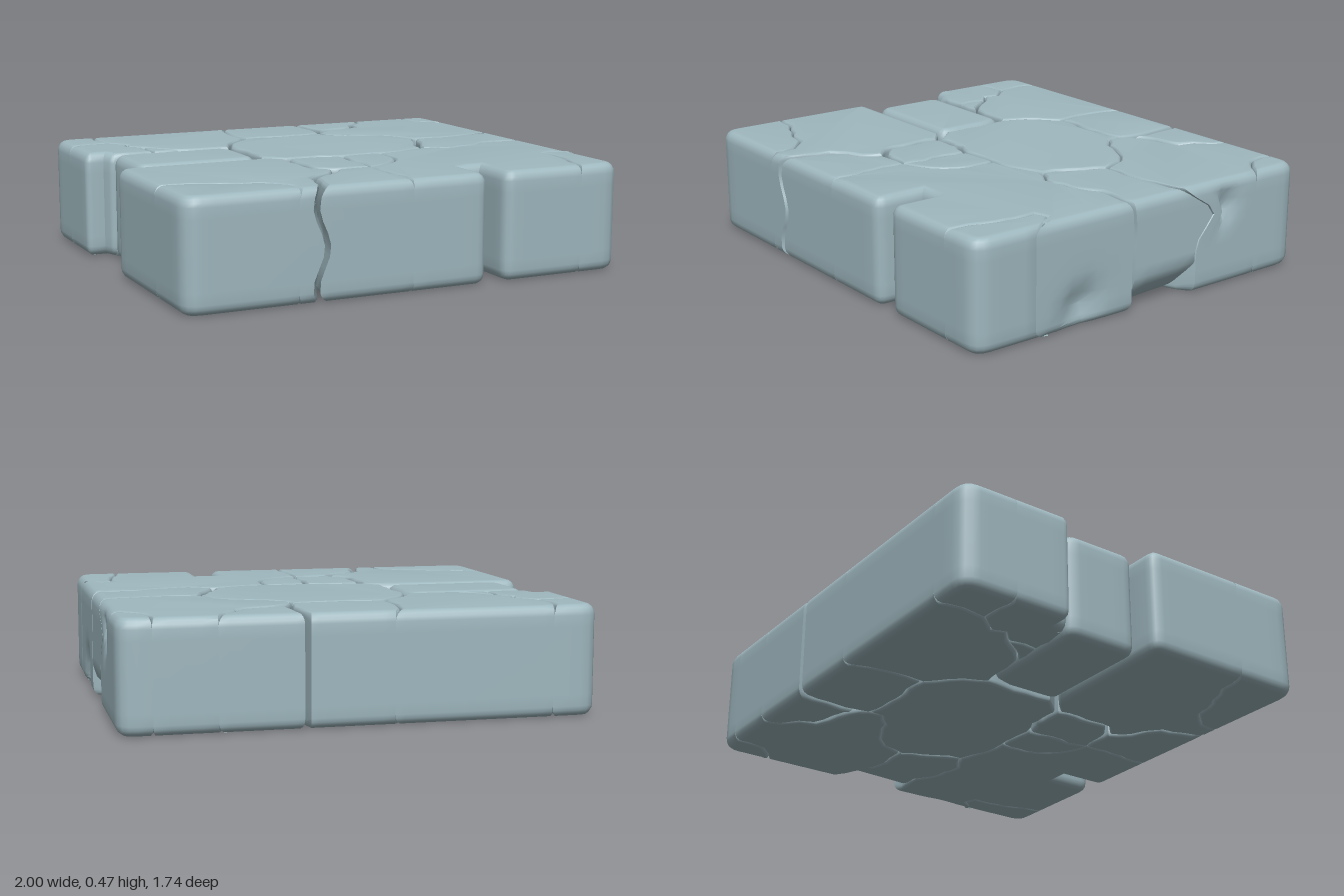
import * as THREE from 'three';
import { toCreasedNormals } from 'three/addons/utils/BufferGeometryUtils.js';

const BOTTOM = 0.01, TOP = 0.48;

// Crack point: w is half the width of the gap there
const C = (x, z, w = 0) => ({ x, z, w });
// Point on a cleanly cut edge: round is the corner radius in plan
const S = (x, z, round = 0, w = 0) => ({ x, z, w, round, cut: true });
const rev = (path) => [...path].reverse();

// Outer rim
const corner = {
  backLeft: S(-1, -0.87, 0.08), backRight: S(1, -0.87, 0.08),
  frontRight: S(1, 0.87, 0.08), frontLeft: S(-1, 0.87, 0.08),
};
const rimB = [S(-0.8, -0.87), S(-0.12, -0.87), S(0.24, -0.87, 0, 0.013), S(0.6, -0.87), S(0.86, -0.87)];
const rimR = [S(1, -0.62), S(1, -0.2, 0, 0.004), S(1, 0.08, 0, 0.007), S(1, 0.58)];
const rimF = [S(0.8, 0.87), S(-0.01, 0.87), S(-0.42, 0.87, 0, 0.012), S(-0.5, 0.87)];
const rimL = [S(-1, 0.55), S(-1, 0.075, 0.05), S(-1, -0.36, 0.03), S(-1, -0.62)];
const frontNotch = [S(0.425, 0.87, 0.05), S(0.425, 0.65), S(0.34, 0.65), S(0.34, 0.87, 0.05)];

// Outline of the middle stone, in stretches between its neighbours
const mid = {
  back: [C(-0.17, -0.51, 0.006), C(0.23, -0.53, 0.003)],
  backRight: [C(0.23, -0.46), C(0.4, -0.36), C(0.52, -0.27), C(0.56, -0.16, 0.006)],
  right: [C(0.52, -0.06, 0.01), C(0.46, 0.05, 0.01), C(0.45, 0.11, 0.005)],
  front: [C(0.31, 0.16), C(0.19, 0.17, 0.004)],
  frontLeft: [C(0, 0.18, 0.007), C(-0.09, 0.145, 0.01), C(-0.25, 0.15, 0.012)],
  left: [C(-0.33, 0.05, 0.003), C(-0.33, -0.2, 0.003)],
  backLeft: [C(-0.34, -0.28, 0.006), C(-0.32, -0.33, 0.004)],
};

// Cracks running out from the middle stone
const crackBack = [C(-0.18, -0.68)];
const gapBack = C(0.25, -0.57, 0.013);
const crackWedge = [C(0.57, -0.79), C(0.5, -0.73, 0.004), C(0.48, -0.66, 0.012)];
const crackRight = [C(0.7, -0.15), C(0.85, -0.17)];
const crackRightFront = [C(0.8, 0.08, 0.004), C(0.72, 0.13), C(0.55, 0.165)];
const crackSmall = [C(0.18, 0.35), C(0.1, 0.45)];
const crackMid = [C(0, 0.4), C(-0.02, 0.5)];
const crackHex = [C(-0.26, 0.25, 0.01), C(-0.25, 0.43, 0.008), C(-0.18, 0.49, 0.012)];
const crackFront = [C(-0.02, 0.7)];
const gapFront = [C(-0.24, 0.58, 0.01), C(-0.36, 0.66, 0.011), C(-0.38, 0.76, 0.012)];
const chipFL = [C(-0.51, 0.76), C(-0.6, 0.67), C(-0.75, 0.62), C(-0.86, 0.57)];
const chipBL = [C(-0.83, -0.76), C(-0.81, -0.64)];
const chipL = [C(-0.74, -0.56), C(-0.76, -0.5), C(-0.7, -0.45, 0.003)];
const chipFoot = [C(-0.57, -0.305, 0.004), C(-0.7, -0.305, 0.004)];
const chipBR = [C(0.87, -0.72)];
const chipFR = [C(0.85, 0.66), C(0.86, 0.48), C(0.92, 0.46)];

const stones = {
  middleStone: Object.values(mid).flat(),
  backLeftStone: [rimB[0], rimB[1], ...crackBack, mid.back[0], ...rev(mid.backLeft), C(-0.42, -0.3),
    chipFoot[0], ...rev(chipL), ...rev(chipBL)],
  backLeftCorner: [corner.backLeft, rimB[0], ...chipBL, rimL[3]],
  leftEdgeStone: [rimL[3], chipBL[1], ...chipL, chipFoot[1], S(-0.9, -0.305, 0.02), S(-0.92, -0.36), rimL[2]],
  leftChip: [chipL[2], ...chipFoot],
  leftRecessedStone: [S(-0.9, -0.29, 0.06), S(-0.37, -0.29, 0.04), S(-0.343, -0.2), S(-0.343, 0.01),
    S(-0.36, 0.06, 0.03), S(-0.9, 0.06, 0.06)],
  backStone: [rimB[1], rimB[2], gapBack, ...rev(mid.back), ...crackBack],
  backWedge: [rimB[2], rimB[3], ...crackWedge, gapBack],
  backRightStone: [rimB[3], rimB[4], ...chipBR, rimR[0], rimR[1], ...rev(crackRight), ...rev(mid.backRight),
    mid.back[1], gapBack, ...rev(crackWedge)],
  backRightCorner: [rimB[4], corner.backRight, rimR[0], ...chipBR],
  rightStone: [rimR[1], rimR[2], ...crackRightFront, ...rev(mid.right), mid.backRight[3], ...crackRight],
  frontRightStone: [rimR[2], rimR[3], ...rev(chipFR), rimF[0], ...frontNotch, rimF[1], ...crackFront,
    crackMid[1], ...rev(crackSmall), ...rev(mid.front), mid.right[2], ...rev(crackRightFront)],
  frontRightCorner: [rimR[3], corner.frontRight, rimF[0], ...chipFR],
  smallStone: [mid.frontLeft[0], mid.front[1], ...crackSmall, ...rev(crackMid)],
  hexStone: [...rev(mid.frontLeft), ...crackMid, ...rev(crackHex)],
  frontStone: [crackHex[2], crackMid[1], ...crackFront, rimF[1], rimF[2], ...rev(gapFront)],
  frontLeftStone: [rimL[0], rimL[1], S(-0.37, 0.075), mid.frontLeft[2], ...crackHex, ...gapFront, rimF[2], rimF[3], ...chipFL],
  frontLeftCorner: [rimL[0], ...rev(chipFL), rimF[3], corner.frontLeft],
};

const area = (pts) => pts.reduce((sum, p, i) => {
  const q = pts[(i + 1) % pts.length];
  return sum + p.x * q.z - q.x * p.z;
}, 0);

// Points strictly between a and b; a crack gets the same jagged line from both sides
function between(a, b, straight) {
  const len = Math.hypot(b.x - a.x, b.z - a.z);
  if (len < 0.08) return [];
  if (a.x > b.x || (a.x === b.x && a.z > b.z)) return rev(between(b, a, straight));
  const m = C((a.x + b.x) / 2, (a.z + b.z) / 2, (a.w + b.w) / 2);
  const n = Math.sin(m.x * 127.1 + m.z * 311.7) * 43758.5;
  const k = straight ? 0 : (n - Math.floor(n) - 0.5) * 0.17;
  m.x -= (b.z - a.z) * k;
  m.z += (b.x - a.x) * k;
  return [...between(a, m, straight), m, ...between(m, b, straight)];
}

// Rounds cut corners and subdivides edges; each point records whether its next edge is cut
function outline(path) {
  const pts = area(path) > 0 ? rev(path) : path;
  const rounded = pts.flatMap((p, i) => {
    if (!p.round) return [p];
    const toward = (q) => {
      const k = p.round / Math.hypot(q.x - p.x, q.z - p.z);
      return new THREE.Vector2(p.x + (q.x - p.x) * k, p.z + (q.z - p.z) * k);
    };
    const a = toward(pts.at(i - 1)), b = toward(pts[(i + 1) % pts.length]);
    return new THREE.QuadraticBezierCurve(a, new THREE.Vector2(p.x, p.z), b)
      .getPoints(4).map((v) => S(v.x, v.y));
  });
  return rounded.flatMap((p, i) => {
    const q = rounded[(i + 1) % rounded.length], cut = !!(p.cut && q.cut);
    const a = cut ? { ...p, w: 0 } : p, b = cut ? { ...q, w: 0 } : q;
    return [{ ...p, edge: cut }, ...between(a, b, cut).map((m) => ({ ...m, edge: cut }))];
  });
}

// Weathering: wandering side cracks, dents and a broken lower edge on the right
const near = (dx, dy, dz, r) => Math.exp(-(dx * dx + dy * dy + dz * dz) / (r * r));
function weather(x, y, z, name) {
  const depth = (TOP - y) / (TOP - BOTTOM);
  const front = near(x + 0.43, 0, z - 0.87, 0.16);
  const right = near(x - 1, 0, z + 0.2, 0.17);
  let nx = x - 0.025 * front * Math.sin(depth * 9);
  const nz = z - right * (0.07 * Math.min(1, depth * 4) + 0.1 * near(0, y - 0.35, 0, 0.08));
  if (x > 0.9) {
    nx -= 0.05 * near(0, y - 0.1, z - 0.35, 0.07) + 0.05 * near(0, y - 0.36, z + 0.42, 0.06);
    if (name === 'rightStone') nx -= Math.max(0, 0.12 - 0.1 * (z - 0.07) - y) * 0.9;
  }
  return [nx, y, nz];
}

// Solid stone built from stacked outlines with rounded top and bottom edges
function stoneGeometry(name, path) {
  const pts = outline(path), n = pts.length;
  const normals = pts.map((p, i) => {
    const q = pts[(i + 1) % n], len = Math.hypot(q.x - p.x, q.z - p.z);
    return [(q.z - p.z) / len, (p.x - q.x) / len];
  });
  const inset = (i, amount, extra) => {
    const p = pts[i], j = (i + n - 1) % n, [ax, az] = normals[j], [bx, bz] = normals[i];
    const dist = (cut) => (cut ? 0.04 * amount : p.w + 0.014 * amount) + extra;
    const da = dist(pts[j].edge), db = dist(p.edge), det = ax * bz - az * bx;
    let dx = (ax + bx) * (da + db) / 4, dz = (az + bz) * (da + db) / 4;
    if (Math.abs(det) > 0.2) {
      dx = (da * bz - db * az) / det;
      dz = (ax * db - bx * da) / det;
    }
    const k = Math.min(1, 2 * Math.max(da, db) / (Math.hypot(dx, dz) || 1));
    return [p.x + dx * k, p.z + dz * k];
  };

  // Levels: inset amount, extra inset, drop fraction from the face, and height fraction
  const bevel = [0, 1, 2, 3, 4].map((s) => s * Math.PI / 8)
    .map((a) => [1 - Math.sin(a), 0, 1 - Math.cos(a), 0]);
  const half = [[1, 0.004, 0, 0], ...bevel];
  const sides = [1, 2, 3, 4, 5, 6, 7].map((s) => [0, 0, 1, s / 8]);
  const levels = [...half, ...sides, ...rev(half).map(([a, e, d]) => [a, e, d, 1])];
  const position = [], index = [];
  levels.forEach(([amount, extra, drop, t], l) => {
    for (let i = 0; i < n; i++) {
      const d = (pts[i].edge || pts[(i + n - 1) % n].edge ? 0.045 : 0.022) * drop;
      const [x, z] = inset(i, amount, extra);
      position.push(...weather(x, THREE.MathUtils.lerp(BOTTOM + d, TOP - d, t), z, name));
      if (l === 0) continue;
      const a = (l - 1) * n + i, b = (l - 1) * n + (i + 1) % n;
      index.push(a, b, b + n, a, b + n, a + n);
    }
  });

  // Flat faces
  const cap = pts.map((p, i) => new THREE.Vector2(...inset(i, 1, 0.004)));
  const last = (levels.length - 1) * n;
  for (const tri of THREE.ShapeUtils.triangulateShape(cap, [])) {
    const [a, b, c] = area(tri.map((i) => ({ x: cap[i].x, z: cap[i].y }))) < 0 ? tri : rev(tri);
    index.push(last + a, last + b, last + c, c, b, a);
  }
  const geometry = new THREE.BufferGeometry();
  geometry.setAttribute('position', new THREE.Float32BufferAttribute(position, 3));
  geometry.setIndex(index);
  return toCreasedNormals(geometry, 0.7);
}

export function createModel() {
  const stone = new THREE.MeshStandardMaterial({ color: 0x9fb8bf });
  stone.name = 'blueGreyStone';
  const group = new THREE.Group();
  group.name = 'crackedStoneSlab';
  for (const [name, path] of Object.entries(stones)) {
    const mesh = new THREE.Mesh(stoneGeometry(name, path), stone);
    mesh.name = name;
    group.add(mesh);
  }
  return group;
}
